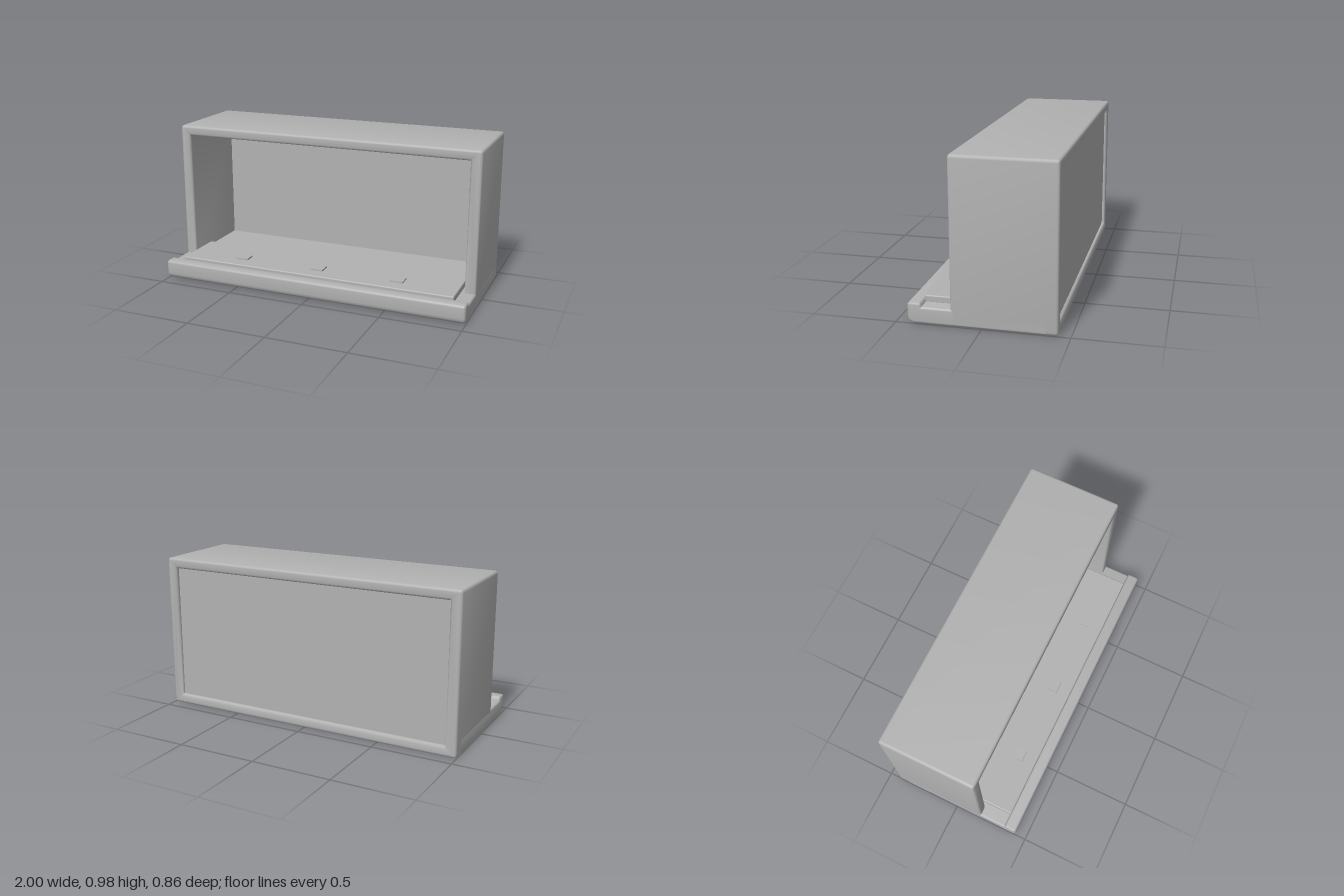
import * as THREE from 'three';
import { toCreasedNormals } from 'three/addons/utils/BufferGeometryUtils.js';
import { RoundedBoxGeometry } from 'three/addons/geometries/RoundedBoxGeometry.js';

// Rectangle with clipped, curved corners
function roundedRect(path, x0, y0, x1, y1, r) {
  path.moveTo(x0 + r, y0);
  path.lineTo(x1 - r, y0);
  path.quadraticCurveTo(x1, y0, x1, y0 + r);
  path.lineTo(x1, y1 - r);
  path.quadraticCurveTo(x1, y1, x1 - r, y1);
  path.lineTo(x0 + r, y1);
  path.quadraticCurveTo(x0, y1, x0, y1 - r);
  path.lineTo(x0, y0 + r);
  path.quadraticCurveTo(x0, y0, x0 + r, y0);
  return path;
}

// Extrusion of a given total length, centred, with softened end edges
function softExtrude(shape, length, bevel) {
  const geometry = new THREE.ExtrudeGeometry(shape, {
    depth: length - 2 * bevel,
    bevelThickness: bevel,
    bevelSize: bevel,
    bevelOffset: -bevel,
    bevelSegments: 3,
    curveSegments: 4,
  });
  geometry.translate(0, 0, -(length - 2 * bevel) / 2);
  return toCreasedNormals(geometry, 0.6);
}

export function createModel() {
  const group = new THREE.Group();
  const grey = new THREE.MeshStandardMaterial({ color: 0xb2b2b2 });
  grey.name = 'plain grey';

  const add = (name, geometry, x = 0, y = 0, z = 0) => {
    const mesh = new THREE.Mesh(geometry, grey);
    mesh.name = name;
    mesh.position.set(x, y, z);
    group.add(mesh);
    return mesh;
  };

  // Open box: four walls around a rectangular opening
  const walls = roundedRect(new THREE.Shape(), -1, 0, 1, 0.98, 0.02);
  walls.holes.push(roundedRect(new THREE.Path(), -0.93, 0.065, 0.93, 0.915, 0.002));
  add('boxWalls', softExtrude(walls, 0.61, 0.015), 0, 0, -0.125);

  // Back panel set in slightly from the rear edge
  add('backPanel', new THREE.BoxGeometry(1.88, 0.87, 0.05), 0, 0.49, -0.385);

  // Base with projecting ledge and raised front lip, as a side profile (z, y)
  const base = new THREE.Shape();
  base.moveTo(-0.37, 0.002);
  base.lineTo(0.39, 0.002);
  base.quadraticCurveTo(0.43, 0.008, 0.43, 0.04);
  base.lineTo(0.43, 0.105);
  base.quadraticCurveTo(0.43, 0.123, 0.412, 0.123);
  base.lineTo(0.366, 0.123);
  base.quadraticCurveTo(0.352, 0.123, 0.349, 0.1);
  base.lineTo(-0.37, 0.1);
  base.closePath();
  const baseGeometry = softExtrude(base, 2, 0.012);
  baseGeometry.rotateY(-Math.PI / 2);
  add('baseWithLip', baseGeometry);

  // Raised tray on the ledge, reaching into the box
  add('tray', new RoundedBoxGeometry(1.82, 0.045, 0.341, 2, 0.008), 0, 0.1165, 0.185);

  // Three small square pads on the tray
  for (const x of [-0.53, 0, 0.53]) {
    add('pad', new THREE.BoxGeometry(0.08, 0.012, 0.075), x, 0.143, 0.231);
  }

  return group;
}
